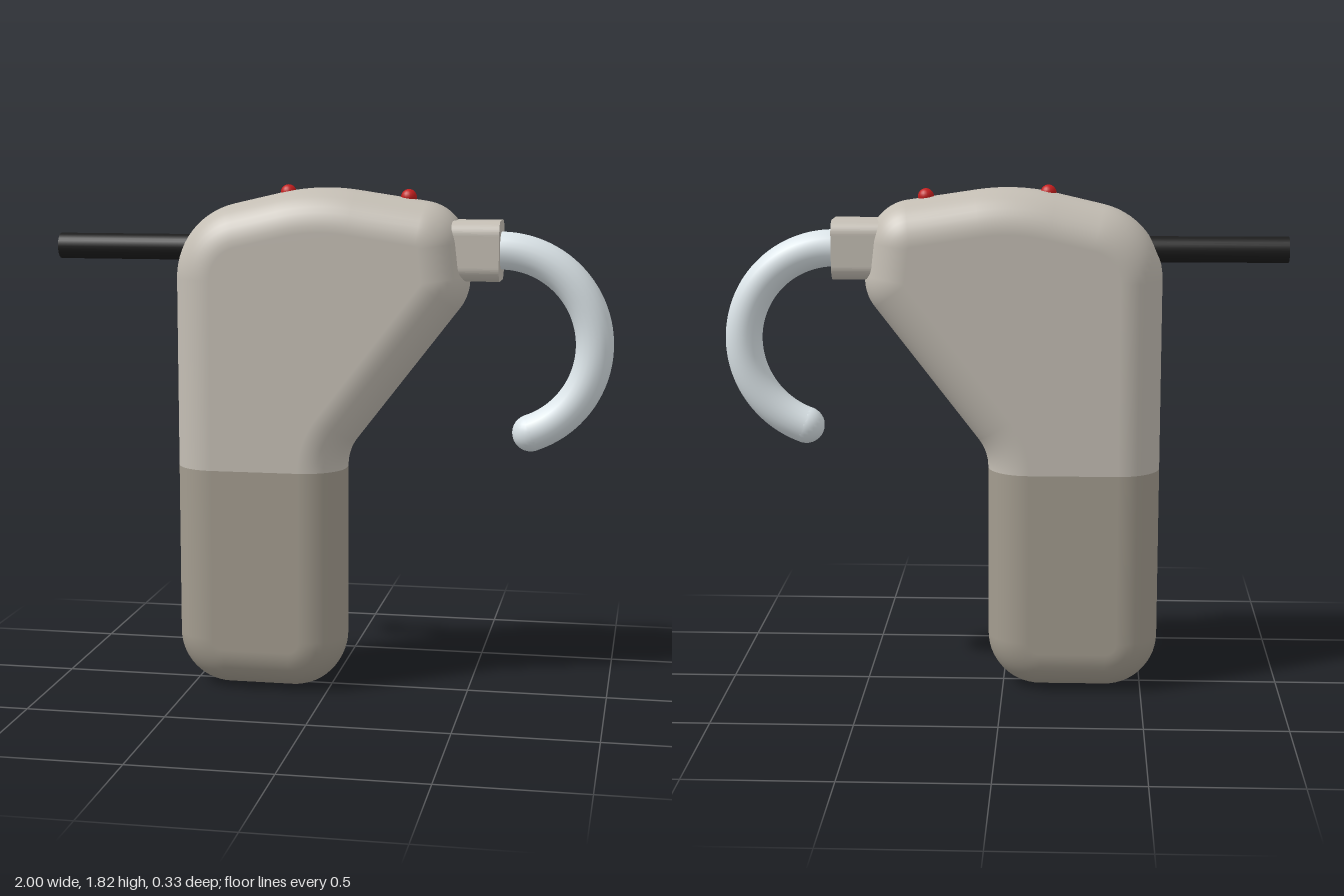
import * as THREE from 'three';

const ROUND = 0.15; // edge rounding of the case
const FLAT = 0.015; // half thickness of the straight band between the roundings
const SEAM = 0.81;

const material = (color, roughness = 0.6) => new THREE.MeshStandardMaterial({ color, roughness });

function addMesh(parent, name, geometry, mat, x = 0, y = 0, z = 0) {
  const mesh = new THREE.Mesh(geometry, mat);
  mesh.name = name;
  mesh.position.set(x, y, z);
  parent.add(mesh);
  return mesh;
}

// Open counterclockwise path [x, y, filletRadius] -> points with outward normals
function filletPath(corners) {
  const v = corners.map(([x, y]) => new THREE.Vector2(x, y));
  const outward = (a, b) => {
    const d = b.clone().sub(a).normalize();
    return new THREE.Vector2(d.y, -d.x);
  };
  const path = [{ p: v[0], n: outward(v[0], v[1]) }];
  for (let i = 1; i < v.length - 1; i++) {
    const n1 = outward(v[i - 1], v[i]);
    const n2 = outward(v[i], v[i + 1]);
    const turn = Math.atan2(n1.cross(n2), n1.dot(n2));
    const r = corners[i][2];
    const s = Math.sign(turn);
    const back = r * Math.tan(Math.abs(turn) / 2);
    const dir = v[i].clone().sub(v[i - 1]).normalize();
    const centre = v[i].clone().addScaledVector(dir, -back).addScaledVector(n1, -s * r);
    const steps = 14;
    for (let k = 0; k <= steps; k++) {
      const n = n1.clone().rotateAround(new THREE.Vector2(), (turn * k) / steps);
      path.push({ p: centre.clone().addScaledVector(n, s * r), n });
    }
  }
  const e = v.length - 1;
  path.push({ p: v[e], n: outward(v[e - 1], v[e]) });
  return path;
}

// Rounded wall swept along the path, closed by flat faces front and back
function caseGeometry(corners) {
  const path = filletPath(corners);
  const count = path.length;
  const half = 10;
  const profile = [];
  for (let i = -half; i <= half; i++) {
    const a = (i / half) * Math.PI / 2;
    if (i <= 0) profile.push([a, -FLAT]);
    if (i >= 0) profile.push([a, FLAT]);
  }
  const pos = [], nor = [], index = [];
  profile.forEach(([a, shift], j) => {
    const c = Math.cos(a), s = Math.sin(a);
    path.forEach(({ p, n }, i) => {
      pos.push(p.x + n.x * c * ROUND, p.y + n.y * c * ROUND, shift + s * ROUND);
      nor.push(n.x * c, n.y * c, s);
      if (j && i) {
        const q = j * count + i, below = q - count;
        index.push(below - 1, below, q, below - 1, q, q - 1);
      }
    });
  });
  const top = (profile.length - 1) * count;
  for (const [a, b, c] of THREE.ShapeUtils.triangulateShape(path.map(({ p }) => p.clone()), [])) {
    index.push(top + a, top + b, top + c, a, c, b);
  }
  const g = new THREE.BufferGeometry();
  g.setAttribute('position', new THREE.Float32BufferAttribute(pos, 3));
  g.setAttribute('normal', new THREE.Float32BufferAttribute(nor, 3));
  g.setIndex(index);
  return g;
}

function roundedRect(w, h, r) {
  const s = new THREE.Shape();
  s.absarc(w / 2 - r, h / 2 - r, r, 0, Math.PI / 2);
  s.absarc(r - w / 2, h / 2 - r, r, Math.PI / 2, Math.PI);
  s.absarc(r - w / 2, r - h / 2, r, Math.PI, Math.PI * 1.5);
  s.absarc(w / 2 - r, r - h / 2, r, Math.PI * 1.5, Math.PI * 2);
  return s;
}

export function createModel() {
  const model = new THREE.Group();
  model.name = 'hearingAid';

  // Two-tone case; corner points are those of the inset outline
  addMesh(model, 'upperCase', caseGeometry([
    [-0.095, SEAM], [-0.095, 0.921, 0.32], [0.34, 1.486, 0.01], [0.325, 1.615, 0.01],
    [-0.04, 1.67, 0.6], [-0.41, 1.584, 0.12], [-0.41, SEAM],
  ]), material(0xc4beb4));
  addMesh(model, 'lowerCase', caseGeometry([
    [-0.41, SEAM], [-0.41, 0.15, 0.04], [-0.095, 0.15, 0.04], [-0.095, SEAM],
  ]), material(0xa39c8f));

  // Block joining case and ear hook
  const collar = new THREE.ExtrudeGeometry(roundedRect(0.2, 0.21, 0.05),
    { depth: 0.2, bevelEnabled: false, curveSegments: 8 });
  collar.rotateY(Math.PI / 2);
  addMesh(model, 'hookCollar', collar, material(0xc4beb4), 0.4, 1.595, 0);

  // Curved ear hook with a round tip
  const hook = new THREE.Group();
  hook.name = 'earHook';
  hook.position.set(0.6, 1.265, 0);
  model.add(hook);
  const hookMat = material(0xdbe4e8, 0.4);
  const R = 0.33, r = 0.066, tip = THREE.MathUtils.degToRad(-70);
  const arc = new THREE.TorusGeometry(R, r, 20, 56, Math.PI / 2 - tip);
  arc.rotateZ(tip);
  addMesh(hook, 'hookTube', arc, hookMat);
  addMesh(hook, 'hookTip', new THREE.SphereGeometry(r, 24, 16), hookMat,
    R * Math.cos(tip), R * Math.sin(tip), 0);

  // Cable leaving the back of the case
  const cable = new THREE.CylinderGeometry(0.046, 0.046, 0.51, 28);
  cable.rotateZ(Math.PI / 2);
  addMesh(model, 'cable', cable, material(0x1c1c1c), -0.745, 1.595, 0);

  // Red indicator buttons on the top edge
  for (const [x, y] of [[-0.157, 1.792], [0.273, 1.778]]) {
    addMesh(model, 'indicator', new THREE.SphereGeometry(0.028, 20, 14), material(0xc41e1e), x, y, 0);
  }
  return model;
}
